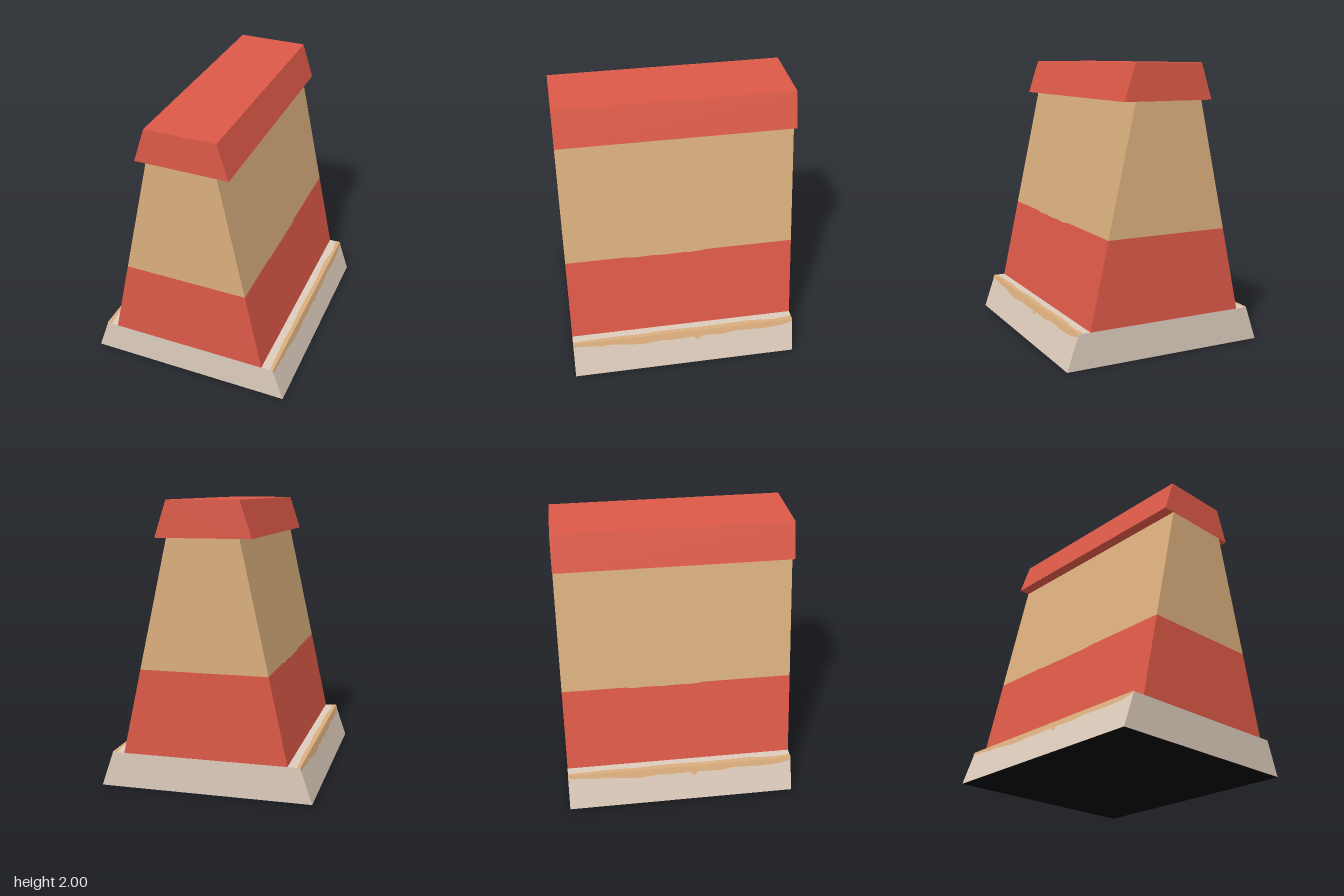
import * as THREE from 'three';

const D = 0.835; // half depth
const mat = (name, color) => {
  const m = new THREE.MeshStandardMaterial({ color });
  m.name = name;
  return m;
};

// Trapezoid section running the full depth
function prism(name, bottom, top, y0, y1, material) {
  const s = new THREE.Shape([
    new THREE.Vector2(-bottom, y0), new THREE.Vector2(bottom, y0),
    new THREE.Vector2(top, y1), new THREE.Vector2(-top, y1),
  ]);
  const g = new THREE.ExtrudeGeometry(s, { depth: 2 * D, bevelEnabled: false });
  g.translate(0, 0, -D);
  const mesh = new THREE.Mesh(g, material);
  mesh.name = name;
  return mesh;
}

// Thin painted strip between a lower and an upper edge, each running from +z to -z
function ribbon(name, lower, upper, material) {
  const pos = [], idx = [];
  lower.forEach((p, i) => {
    pos.push(...p, ...upper[i]);
    if (i) {
      const a = 2 * i - 2;
      idx.push(a, a + 2, a + 3, a, a + 3, a + 1);
    }
  });
  const g = new THREE.BufferGeometry();
  g.setAttribute('position', new THREE.Float32BufferAttribute(pos, 3));
  g.setIndex(idx);
  g.computeVertexNormals();
  const mesh = new THREE.Mesh(g, material);
  mesh.name = name;
  return mesh;
}

export function createModel() {
  const red = mat('red paint', 0xdc5947);
  const tan = mat('tan plaster', 0xdaae7d);
  const stone = mat('pale stone', 0xdccbbb);
  const black = mat('black underside', 0x050505);

  const group = new THREE.Group();
  group.name = 'taperedPillar';

  // Stacked sections
  group.add(
    prism('base', 0.75, 0.665, 0.002, 0.25, stone),
    prism('lowerBody', 0.58, 0.448, 0.25, 0.853, red),
    prism('upperBody', 0.448, 0.25, 0.853, 1.75, tan),
    prism('cap', 0.332, 0.25, 1.75, 2, red),
  );

  // Underside
  const underside = new THREE.Mesh(new THREE.PlaneGeometry(1.5, 2 * D), black);
  underside.rotation.x = Math.PI / 2;
  underside.name = 'underside';
  group.add(underside);

  // Weathered paint edges: [z, y] on the slopes and [z, x] on the ledge
  const drip = [[D, 0.232], [0.7, 0.225], [0.62, 0.214], [0.58, 0.221], [0.4, 0.2], [0.3, 0.195],
    [0.16, 0.206], [0.1, 0.2], [-0.07, 0.206], [-0.085, 0.185], [-0.1, 0.178], [-0.115, 0.19],
    [-0.13, 0.206], [-0.3, 0.2], [-0.4, 0.214], [-0.6, 0.207], [-0.75, 0.215], [-D, 0.235]];
  const ledge = [[D, 0.645], [0.7, 0.64], [0.5, 0.634], [0.35, 0.64], [0.1, 0.63],
    [-0.2, 0.636], [-0.5, 0.628], [-0.7, 0.645], [-D, 0.63]];
  const chip = [[0.38, 0.853], [0.33, 0.846], [0.2, 0.849], [0.1, 0.844], [0, 0.848],
    [-0.08, 0.844], [-0.16, 0.848], [-0.18, 0.853]];
  const e = 0.002;
  const onBase = (y, z) => [0.751 - 0.34 * y + e, y, z];
  const onBody = (y, z) => [0.635 - 0.22 * y + e, y, z];

  // Both long sides, related by a half turn
  for (const side of ['left', 'right']) {
    const trim = new THREE.Group();
    trim.name = side + 'WornPaint';
    trim.add(
      ribbon('dripStripe', drip.map(([z, y]) => onBase(y, z)),
        drip.map(([z]) => onBase(0.25 + e, z)), tan),
      ribbon('ledgeStripe', ledge.map(([z]) => [0.667, 0.25 + e, z]),
        ledge.map(([z, x]) => [x, 0.25 + e, z]), tan),
      ribbon('wornSeam', chip.map(([z, y]) => onBody(y, z)),
        chip.map(([z]) => onBody(0.854, z)), tan),
    );
    if (side === 'right') trim.rotation.y = Math.PI;
    group.add(trim);
  }
  return group;
}
